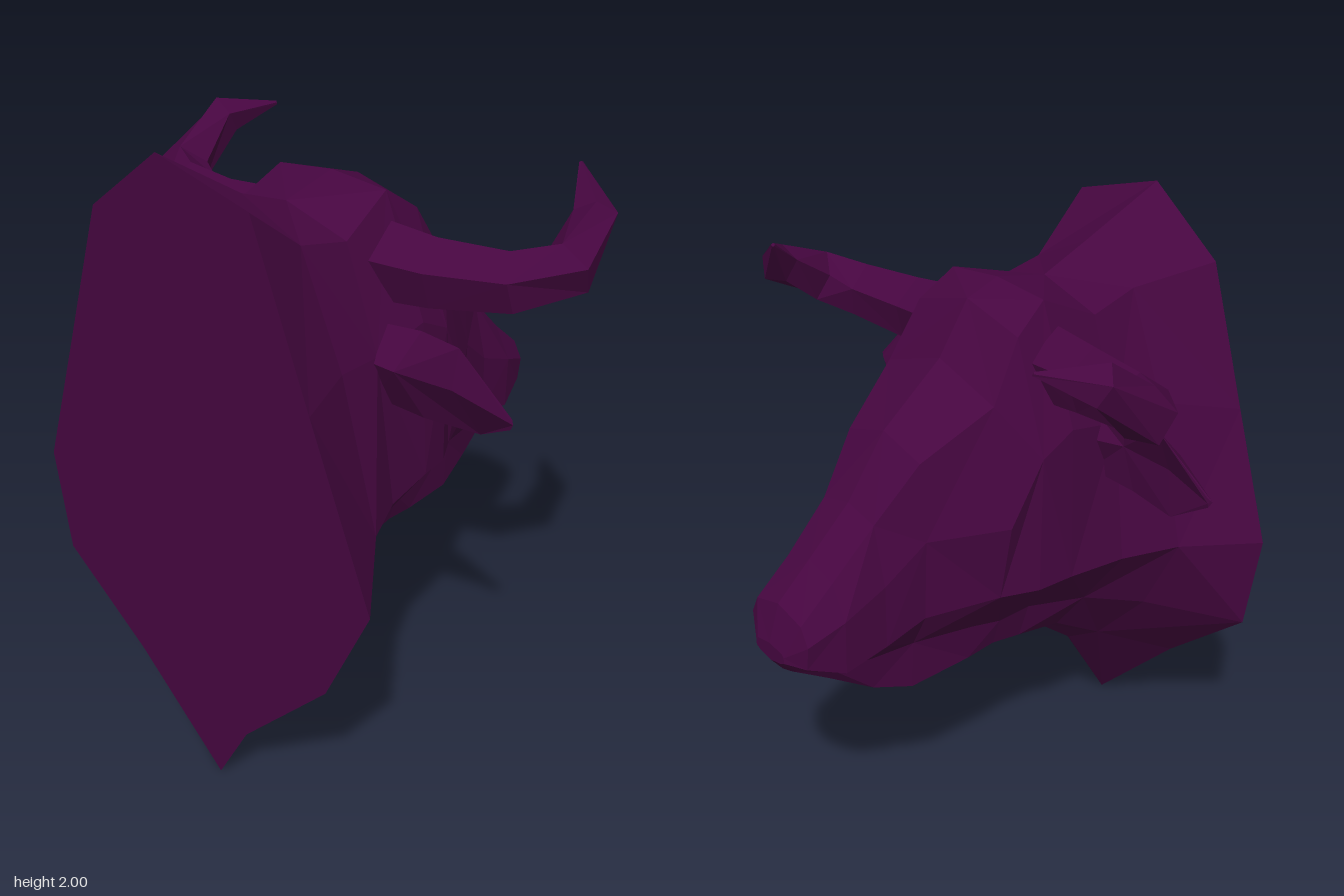
import * as THREE from 'three';

const hide = new THREE.MeshStandardMaterial({ color: 0x460640, flatShading: true });
const V = (x, y, z) => new THREE.Vector3(x, y, z);

// Faceted skin over a row of rings, closed at both ends
function loft(rings) {
  const tris = [];
  const n = rings[0].length;
  for (let i = 0; i < rings.length - 1; i++) {
    for (let j = 0; j < n; j++) {
      const k = (j + 1) % n;
      const a = rings[i][j], b = rings[i][k], c = rings[i + 1][k], d = rings[i + 1][j];
      // Alternate the diagonals, mirrored between the two halves
      const firstHalf = j < n / 2;
      const step = i + (firstHalf ? j : n - 1 - j);
      if ((step % 2 === 0) === firstHalf) tris.push([a, b, c], [a, c, d]);
      else tris.push([a, b, d], [b, c, d]);
    }
  }
  const cap = (ring, flip) => {
    const mid = ring.reduce((s, p) => s.add(p), V(0, 0, 0)).divideScalar(n);
    ring.forEach((p, j) => {
      const q = ring[(j + 1) % n];
      tris.push(flip ? [mid, q, p] : [mid, p, q]);
    });
  };
  cap(rings[0], true);
  cap(rings[rings.length - 1], false);
  // A negative volume means the faces point inward
  const volume = tris.reduce((s, [a, b, c]) => s + a.dot(b.clone().cross(c)), 0);
  const points = tris.flatMap(([a, b, c]) => (volume < 0 ? [a, c, b] : [a, b, c]));
  const geometry = new THREE.BufferGeometry().setFromPoints(points);
  geometry.computeVertexNormals();
  return geometry;
}

function add(parent, name, geometry) {
  const mesh = new THREE.Mesh(geometry, hide);
  mesh.name = name;
  parent.add(mesh);
}

// Neck and head: a slightly uneven rear outline, then mirrored sections to the muzzle
function headGeometry() {
  const back = [
    [-0.07, 2.0], [0.255, 1.91], [0.44, 1.4], [0.64, 0.86], [0.48, 0.53], [0.16, 0.21],
    [0.04, 0], [-0.28, 0.33], [-0.58, 0.59], [-0.625, 0.92], [-0.48, 1.35], [-0.33, 1.8],
  ].map(([x, y]) => V(x, y, 0.76));

  // z, top y, then x,y of crown, upper side, cheek, lip and jaw, then bottom y
  const sections = [
    [0.52, 1.84, 0.21, 1.74, 0.35, 1.4, 0.47, 0.93, 0.34, 0.66, 0.14, 0.44, 0.35],
    [0.34, 1.77, 0.22, 1.7, 0.33, 1.38, 0.39, 0.92, 0.23, 0.7, 0.11, 0.54, 0.49],
    [0.14, 1.81, 0.2, 1.79, 0.34, 1.42, 0.36, 0.92, 0.17, 0.72, 0.13, 0.59, 0.54],
    [0.02, 1.77, 0.22, 1.71, 0.34, 1.36, 0.34, 0.91, 0.16, 0.71, 0.13, 0.61, 0.58],
    [-0.09, 1.61, 0.24, 1.53, 0.325, 1.16, 0.28, 0.9, 0.15, 0.73, 0.13, 0.6, 0.58],
    [-0.31, 1.44, 0.165, 1.39, 0.19, 1.14, 0.18, 0.87, 0.12, 0.75, 0.11, 0.58, 0.56],
    [-0.45, 1.25, 0.12, 1.22, 0.165, 1.03, 0.165, 0.82, 0.11, 0.755, 0.09, 0.63, 0.6],
    [-0.6, 1.115, 0.11, 1.08, 0.165, 0.97, 0.16, 0.79, 0.1, 0.765, 0.07, 0.725, 0.71],
    [-0.72, 1.01, 0.11, 0.98, 0.14, 0.92, 0.13, 0.84, 0.08, 0.81, 0.05, 0.795, 0.78],
    [-0.76, 0.89, 0.06, 0.88, 0.07, 0.87, 0.07, 0.85, 0.05, 0.84, 0.02, 0.835, 0.83],
  ];
  const rings = sections.map((s) => {
    const side = [2, 4, 6, 8, 10].map((i) => V(s[i], s[i + 1], s[0]));
    const other = side.map((p) => V(-p.x, p.y, p.z)).reverse();
    return [V(0, s[1], s[0]), ...side, V(0, s[12], s[0]), ...other];
  });
  return loft([back, ...rings]);
}

// Horn: five-sided rings sweeping out and forward, then a blunt hook to the tip
function hornGeometry(side, elbowY, hook, tip) {
  const path = [
    [0.24, 1.595, 0.165, 0.12], [0.4, 1.595, 0.155, 0.105], [0.62, 1.61, 0.11, 0.09],
    [0.735, elbowY, 0.01, 0.085], [...hook, 0.065], [...tip, 0.006],
  ];
  const centres = path.map(([x, y, z]) => V(x * side, y, z));
  const rings = centres.map((c, i) => {
    const t = centres[Math.min(i + 1, path.length - 1)].clone()
      .sub(centres[Math.max(i - 1, 0)]).normalize();
    const u = t.clone().cross(V(0, 1, 0)).normalize();
    const v = u.clone().cross(t);
    return [0, 1, 2, 3, 4].map((k) => {
      const a = (k / 5) * Math.PI * 2 + 0.3;
      return c.clone().addScaledVector(u, Math.cos(a) * path[i][3])
        .addScaledVector(v, Math.sin(a) * path[i][3]);
    });
  });
  return loft(rings);
}

// Ear: a cupped leaf open to the front; each ring is top rim, back ridge, lower rim, hollow
function earGeometry(side, topZ, lowZ) {
  const rings = [
    [[0.28, 1.45, 0.27], [0.28, 1.37, 0.36], [0.28, 1.22, 0.29], [0.28, 1.35, 0.23]],
    [[0.43, 1.465, 0.27], [0.41, 1.37, 0.37], [0.46, 1.21, 0.29], [0.42, 1.35, 0.28]],
    [[0.6, 1.485, topZ], [0.59, 1.36, 0.345], [0.62, 1.19, lowZ], [0.6, 1.34, 0.28]],
    [[0.75, 1.3, 0.285], [0.76, 1.29, 0.295], [0.75, 1.27, 0.29], [0.75, 1.285, 0.285]],
  ];
  return loft(rings.map((ring) => ring.map(([x, y, z]) => V(x * side, y, z))));
}

export function createModel() {
  const model = new THREE.Group();
  model.name = 'bullHead';
  add(model, 'headAndNeck', headGeometry());
  add(model, 'leftHorn', hornGeometry(1, 1.65, [0.7, 1.74, -0.17], [0.59, 1.85, -0.26]));
  add(model, 'rightHorn', hornGeometry(-1, 1.64, [0.715, 1.775, -0.16], [0.6, 1.805, -0.29]));
  add(model, 'leftEar', earGeometry(1, 0.33, 0.24));
  add(model, 'rightEar', earGeometry(-1, 0.22, 0.28));
  return model;
}
